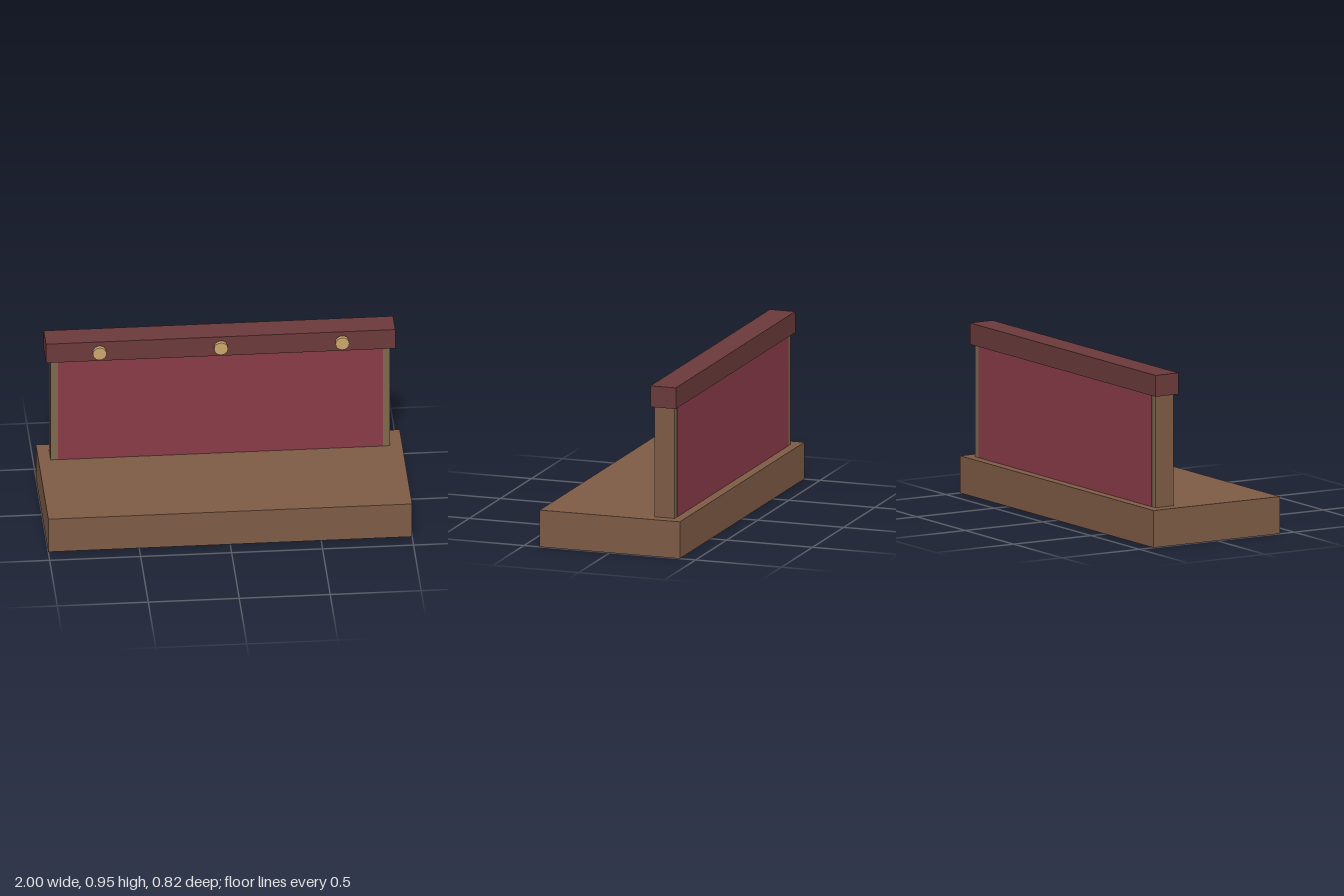
import * as THREE from 'three';

const mat = (name, color) => {
  const m = new THREE.MeshStandardMaterial({ color });
  m.name = name;
  return m;
};

export function createModel() {
  const brown = mat('brown wood', 0x7d5a45);
  const olive = mat('olive trim', 0x7d674c);
  const red = mat('red panel', 0x883a47);
  const maroon = mat('maroon rail', 0x6a393a);
  const gold = mat('gold studs', 0xc9a56b);
  const model = new THREE.Group();

  // box given by its min and max corners
  const box = (name, material, [x0, y0, z0], [x1, y1, z1]) => {
    const m = new THREE.Mesh(new THREE.BoxGeometry(x1 - x0, y1 - y0, z1 - z0), material);
    m.position.set((x0 + x1) / 2, (y0 + y1) / 2, (z0 + z1) / 2);
    m.name = name;
    model.add(m);
  };

  box('base', brown, [-1, 0, -0.408], [1, 0.207, 0.408]);
  box('panel', red, [-0.893, 0.207, -0.355], [0.893, 0.83, -0.236]);
  box('topRail', maroon, [-0.96, 0.83, -0.37], [0.96, 0.949, -0.222]);

  // end posts with thin trim on front and back
  for (const [side, a, b] of [['left', 0.893, 0.933], ['right', -0.933, -0.893]]) {
    box(side + 'Post', brown, [a, 0.207, -0.35], [b, 0.83, -0.24]);
    box(side + 'FrontTrim', olive, [a, 0.207, -0.24], [b, 0.83, -0.237]);
    box(side + 'BackTrim', olive, [a, 0.207, -0.353], [b, 0.83, -0.35]);
  }

  // round studs in front of the rail
  const studGeo = new THREE.CylinderGeometry(0.038, 0.038, 0.023, 16).rotateX(Math.PI / 2);
  for (const x of [-0.667, 0, 0.667]) {
    const stud = new THREE.Mesh(studGeo, gold);
    stud.position.set(x, 0.891, -0.2015);
    stud.name = 'stud';
    model.add(stud);
  }
  return model;
}
